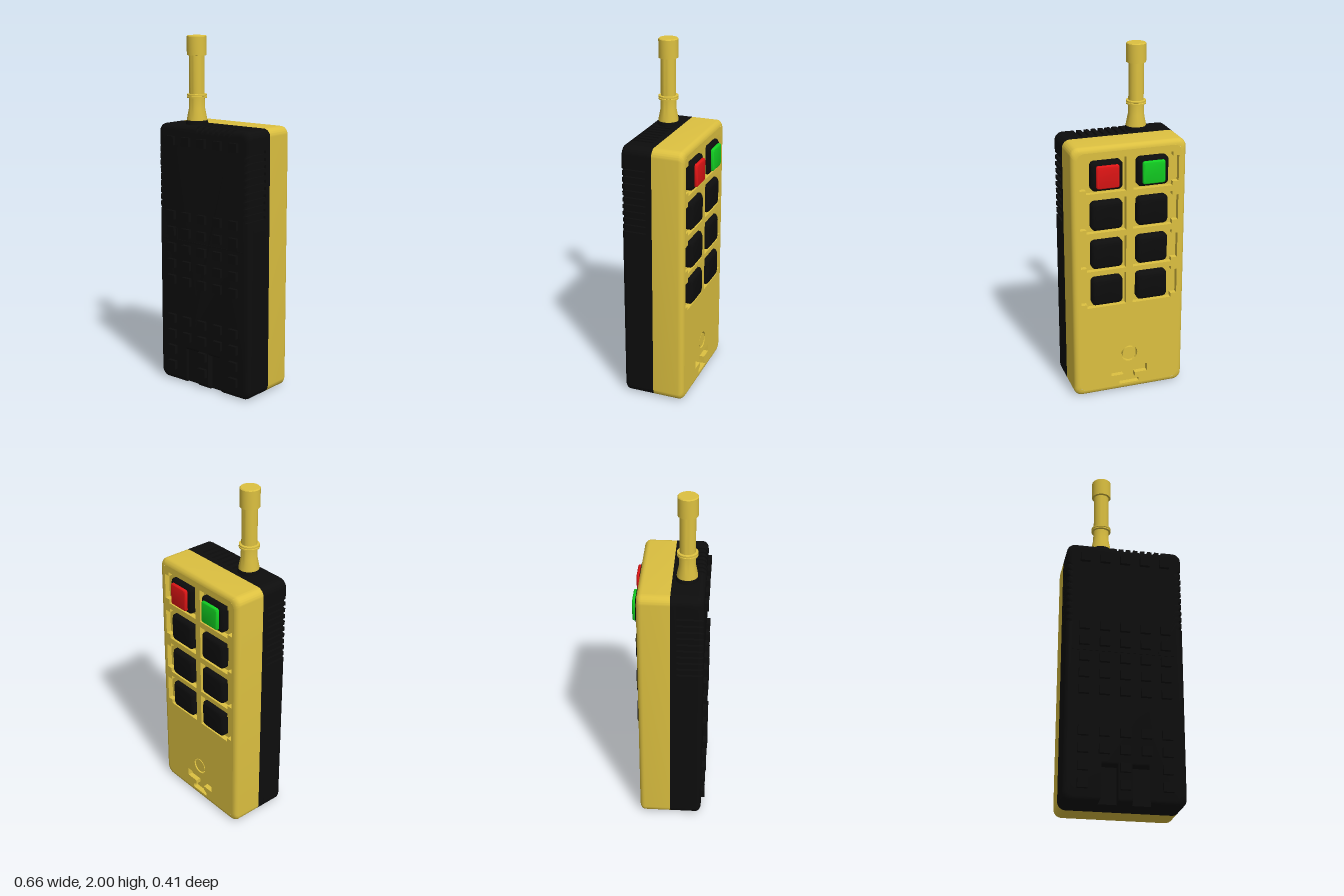
import * as THREE from 'three';
import { toCreasedNormals } from 'three/addons/utils/BufferGeometryUtils.js';

const W = 0.33, H = 0.755, R = 0.045, BEVEL = 0.03;
const mat = (color) => new THREE.MeshStandardMaterial({ color });

// Rounded rectangle centred on the origin, counter-clockwise.
// Grooves are cut into the sides and top, pockets into the bottom edge.
function outline(w, h, r, { side = [], top = [], pockets = [] } = {}) {
  const s = new THREE.Shape();
  const d = 0.014, g = 0.009;
  s.moveTo(-w + r, -h);
  for (const [a, b, depth] of pockets) {
    s.lineTo(a, -h); s.lineTo(a, -h + depth);
    s.lineTo(b, -h + depth); s.lineTo(b, -h);
  }
  s.lineTo(w - r, -h);
  s.absarc(w - r, -h + r, r, -Math.PI / 2, 0);
  for (const y of side) {
    s.lineTo(w, y - g); s.lineTo(w - d, y - g);
    s.lineTo(w - d, y + g); s.lineTo(w, y + g);
  }
  s.lineTo(w, h - r);
  s.absarc(w - r, h - r, r, 0, Math.PI / 2);
  for (const x of [...top].reverse()) {
    s.lineTo(x + g, h); s.lineTo(x + g, h - d);
    s.lineTo(x - g, h - d); s.lineTo(x - g, h);
  }
  s.lineTo(-w + r, h);
  s.absarc(-w + r, h - r, r, Math.PI / 2, Math.PI);
  for (const y of [...side].reverse()) {
    s.lineTo(-w, y + g); s.lineTo(-w + d, y + g);
    s.lineTo(-w + d, y - g); s.lineTo(-w, y - g);
  }
  s.lineTo(-w, -h + r);
  s.absarc(-w + r, -h + r, r, Math.PI, Math.PI * 1.5);
  return s;
}

// Skin an outline through layers [z, inset], z ascending.
function loft(shape, w, h, layers, capBack = true) {
  const pts = shape.extractPoints(6).shape
    .filter((p, i, a) => p.distanceTo(a[(i + 1) % a.length]) > 1e-5);
  const n = pts.length, pos = [], idx = [];
  for (const [z, inset] of layers)
    for (const p of pts) pos.push(p.x * (w - inset) / w, p.y * (h - inset) / h, z);
  for (let l = 0; l < layers.length - 1; l++)
    for (let i = 0; i < n; i++) {
      const a = l * n + i, b = l * n + (i + 1) % n;
      idx.push(a, b, b + n, a, b + n, a + n);
    }
  const last = (layers.length - 1) * n;
  for (const [a, b, c] of THREE.ShapeUtils.triangulateShape(pts, [])) {
    idx.push(last + a, last + b, last + c);
    if (capBack) idx.push(a, c, b);
  }
  const geo = new THREE.BufferGeometry();
  geo.setAttribute('position', new THREE.Float32BufferAttribute(pos, 3));
  geo.setIndex(idx);
  return toCreasedNormals(geo, 0.6);
}

// Quarter-round layers that end (dir 1) or begin (dir -1) at z
function round(z, r, dir) {
  const out = [];
  for (let i = 0; i <= 5; i++) {
    const t = (i / 5) * Math.PI / 2;
    out.push([z - dir * r * (1 - Math.sin(t)), r * (1 - Math.cos(t))]);
  }
  return dir > 0 ? out : out.reverse();
}

function polygon(points) {
  return new THREE.Path(points.map(([x, y]) => new THREE.Vector2(x, y)));
}

export function createModel() {
  const model = new THREE.Group();
  const yellow = mat(0xdcc040), black = mat(0x0d0d0d);
  const red = mat(0xe01515), green = mat(0x12d022);
  const add = (name, geo, material, x = 0, y = 0, z = 0, parent = model) => {
    const m = new THREE.Mesh(geo, material);
    m.name = name;
    m.position.set(x, y, z);
    parent.add(m);
    return m;
  };
  const rows = [1.345, 1.115, 0.885, 0.66];

  // Yellow keypad half: rounded shell, face plate with openings, recess floor
  add('keypadShell', loft(outline(W, H, R), W, H,
    [...round(-0.175, BEVEL, -1), [0.005, 0]], false), yellow, 0, H);
  const plate = outline(W - BEVEL, H - BEVEL, R * (H - BEVEL) / H);
  for (const s of [-1, 1])
    for (const row of rows) {
      const y = row - H;
      plate.holes.push(polygon([
        [0.02, -0.098], [0.25, -0.098], [0.25, -0.075], [0.285, -0.075],
        [0.285, 0.075], [0.25, 0.075], [0.25, 0.098], [0.02, 0.098],
      ].map(([px, py]) => [s * px, y + py])));
    }
  plate.holes.push(polygon([
    [-0.06, 0.04], [0.06, 0.04], [0.06, 0.06], [0.035, 0.075], [0.035, 0.1], [0.11, 0.1],
    [0.11, 0.15], [-0.11, 0.15], [-0.11, 0.1], [-0.035, 0.1], [-0.035, 0.075], [-0.06, 0.06],
  ].map(([x, y]) => [x, y - H])));
  const ringHole = new THREE.Path();
  ringHole.absarc(0, 0.235 - H, 0.05, 0, Math.PI * 2);
  plate.holes.push(ringHole);
  add('keypadFace', new THREE.ExtrudeGeometry(plate,
    { depth: 0.03, bevelEnabled: false, curveSegments: 8 }), yellow, 0, H, -0.175);
  add('recessFloor', new THREE.BoxGeometry(0.6, 1.45, 0.02), yellow, 0, H, -0.135);
  const disc = new THREE.CylinderGeometry(0.04, 0.04, 0.03, 24).rotateX(Math.PI / 2);
  add('indicator', disc, yellow, 0, 0.235, -0.158);

  // Push buttons, the top pair with coloured caps
  const padGeo = loft(outline(0.09, 0.083, 0.025), 0.09, 0.083,
    [[-0.19, 0.018], [-0.187, 0.011], [-0.178, 0.002], [-0.174, 0], [-0.135, 0]]);
  const capGeo = loft(outline(0.065, 0.065, 0.012), 0.065, 0.065,
    [...round(-0.207, 0.01, -1), [-0.185, 0]]);
  for (const s of [-1, 1])
    rows.forEach((y, i) => {
      const button = new THREE.Group();
      button.name = 'button';
      button.position.set(s * 0.132, y, 0);
      model.add(button);
      add('buttonPad', padGeo, black, 0, 0, 0, button);
      if (i === 0) add('buttonCap', capGeo, s > 0 ? red : green, 0, 0, 0, button);
    });

  // Black half: plain band, grooved band, then the front with two bottom pockets
  const side = Array.from({ length: 10 }, (_, i) => 1.03 + i * 0.04 - H);
  const top = Array.from({ length: 7 }, (_, i) => -0.04 + i * 0.042);
  const pockets = [[-0.14, -0.04, 0.2], [0.04, 0.14, 0.2]];
  add('caseBand', loft(outline(W, H, R), W, H, [[0.005, 0], [0.04, 0]]), black, 0, H);
  add('groovedCase', loft(outline(W, H, R, { side, top }), W, H,
    [[0.04, 0], [0.15, 0]]), black, 0, H);
  add('caseFront', loft(outline(W, H, R, { side, top, pockets }), W, H,
    [[0.15, 0], ...round(0.185, BEVEL, 1)]), black, 0, H);

  // Grip studs in five columns
  const stud = new THREE.BoxGeometry(0.056, 0.05, 0.03);
  for (const y of [1.42, 0.995, 0.9, 0.805, 0.71, 0.615, 0.38, 0.285, 0.19, 0.095])
    for (const x of [-0.227, -0.114, 0, 0.114, 0.227])
      if (y > 0.2 || Math.abs(Math.abs(x) - 0.114) > 0.01)
        add('gripStud', stud, black, x, y, 0.19);

  // Battery cover edge with its tabs
  add('coverEdge', new THREE.BoxGeometry(0.58, 0.008, 0.006), black, 0, 0.85, 0.185);
  for (const x of [-0.22, 0.22])
    add('coverTab', new THREE.BoxGeometry(0.07, 0.07, 0.006), black, x, 0.885, 0.185);

  // Antenna
  const antenna = new THREE.Group();
  antenna.name = 'antenna';
  antenna.position.set(-0.123, 0, 0.085);
  model.add(antenna);
  const lathe = (name, material, profile) => add(name, toCreasedNormals(
    new THREE.LatheGeometry(profile.map(([r, y]) => new THREE.Vector2(r, y)), 32), 0.5),
  material, 0, 0, 0, antenna);
  lathe('antennaSocket', black, [[0.061, 1.49], [0.061, 1.525], [0.056, 1.535], [0, 1.535]]);
  lathe('antennaRod', yellow, [
    [0.057, 1.53], [0.057, 1.54], [0.045, 1.6], [0.045, 1.655], [0.056, 1.657], [0.056, 1.665],
    [0.051, 1.667], [0.056, 1.669], [0.056, 1.678], [0.043, 1.68], [0.043, 1.89],
    [0.055, 1.892], [0.055, 1.995], [0.05, 2], [0, 2],
  ]);
  return model;
}
